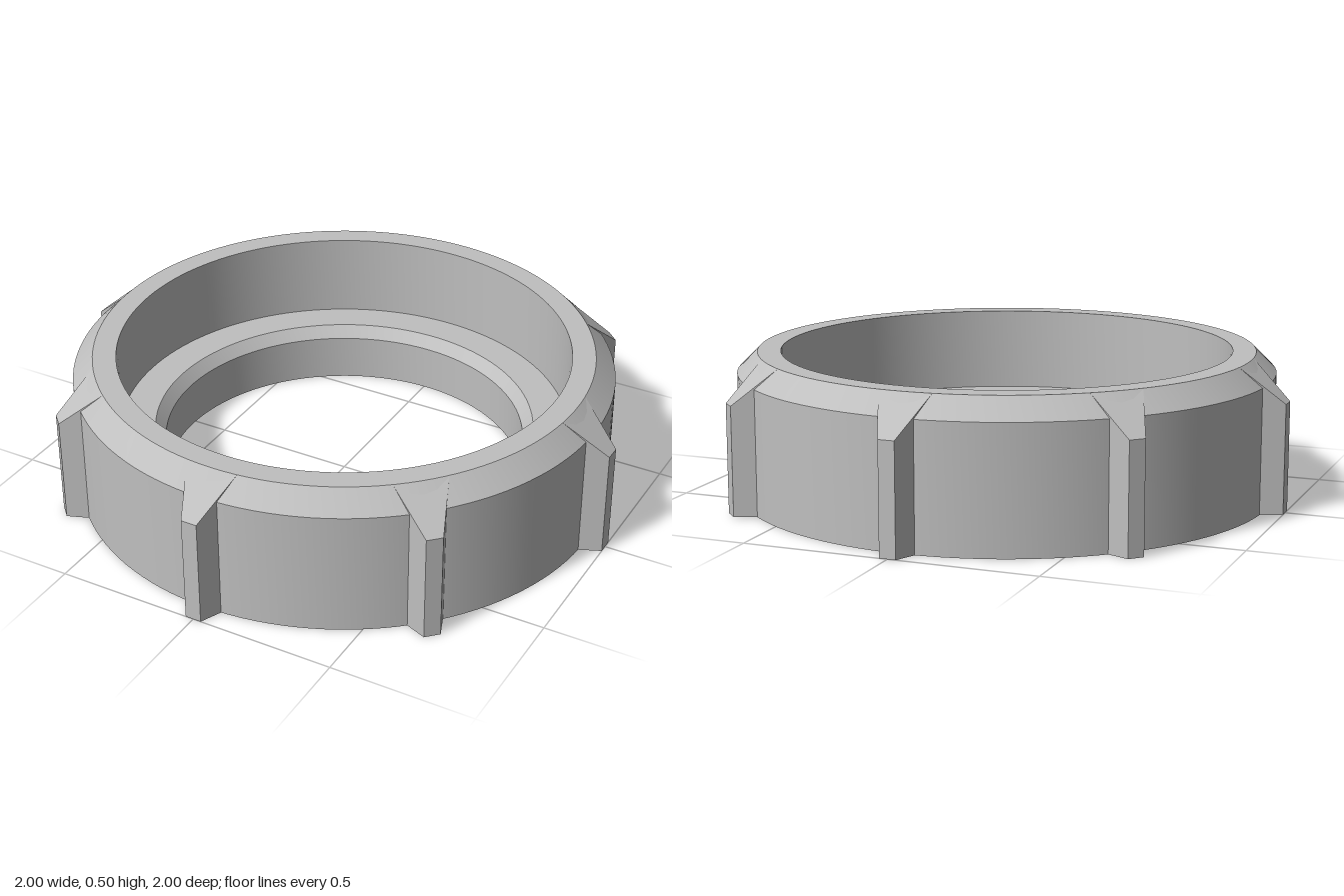
import * as THREE from 'three';
import { toCreasedNormals } from 'three/addons/utils/BufferGeometryUtils.js';

const RIBS = 8;

// Tapered grip rib: wide at the ring, narrow outside, with a sloping top
function ribGeometry() {
  const geo = new THREE.BoxGeometry(2, 1, 1);
  const p = geo.attributes.position;
  for (let i = 0; i < p.count; i++) {
    const outer = p.getZ(i) > 0;
    const top = p.getY(i) > 0;
    const x = Math.sign(p.getX(i)) * (outer ? 0.028 : 0.092);
    p.setXYZ(i, x, top ? (outer ? 0.375 : 0.5) : 0, outer ? 1 : 0.855);
  }
  geo.computeVertexNormals();
  return geo;
}

export function createModel() {
  const group = new THREE.Group();
  group.name = 'lockingRing';
  const grey = new THREE.MeshStandardMaterial({ color: 0xbfbfbf });
  grey.name = 'plain grey';

  // Ring body: chamfered rim, wide upper bore, inner ledge and narrow lower bore
  const profile = [
    [0.625, 0], [0.93, 0], [0.93, 0.43], [0.86, 0.5], [0.78, 0.5],
    [0.78, 0.205], [0.66, 0.205], [0.625, 0.165], [0.625, 0],
  ].map(([r, y]) => new THREE.Vector2(r, y));
  const body = new THREE.Mesh(toCreasedNormals(new THREE.LatheGeometry(profile, 128), 0.4), grey);
  body.name = 'ringBody';
  group.add(body);

  // Grip ribs around the outside
  const ribGeo = ribGeometry();
  for (let i = 0; i < RIBS; i++) {
    const rib = new THREE.Mesh(ribGeo, grey);
    rib.name = `gripRib${i + 1}`;
    rib.rotation.y = (i / RIBS) * Math.PI * 2;
    group.add(rib);
  }
  return group;
}
